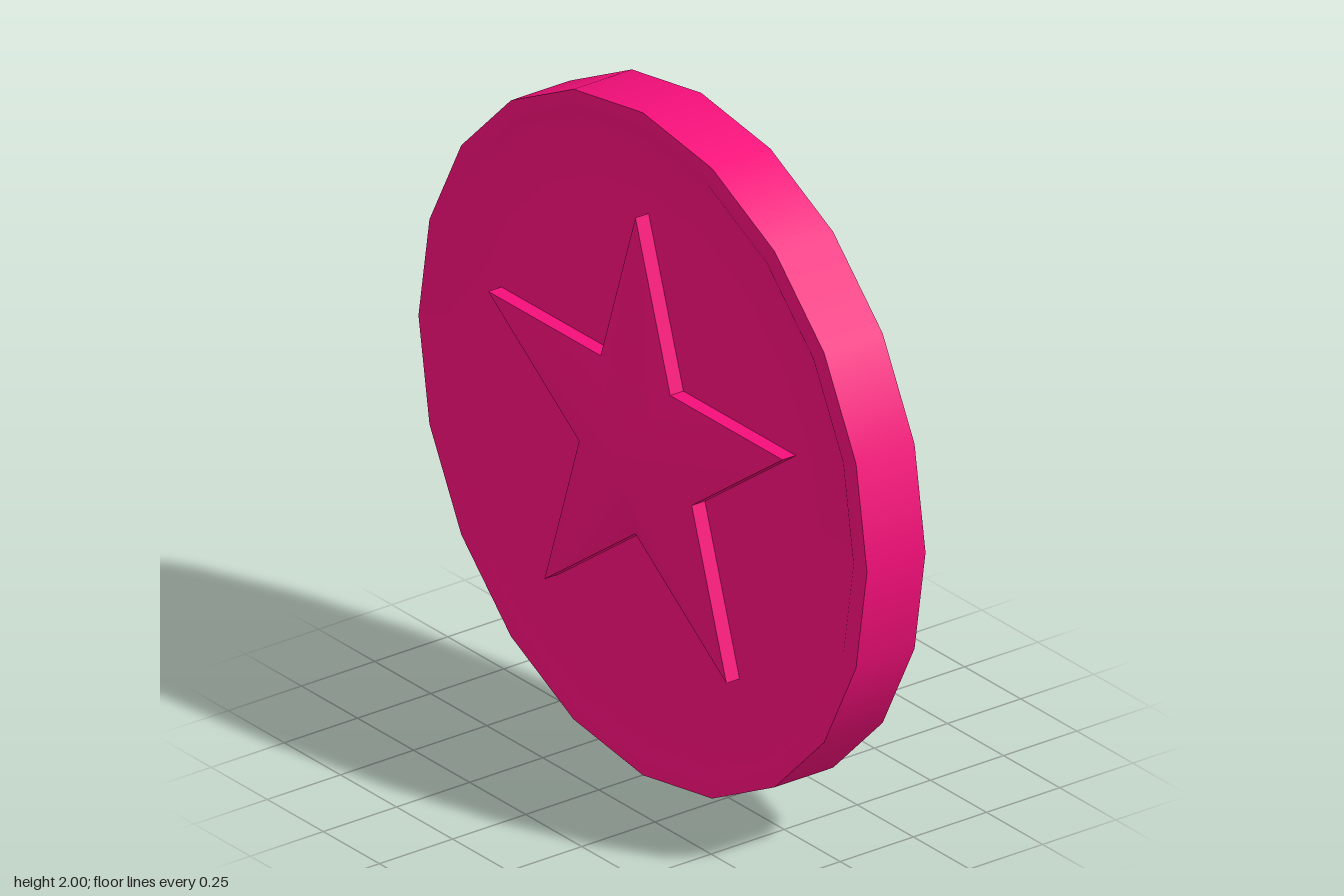
import * as THREE from 'three';

const SIDES = 20, HALF = 0.1, FLOOR = 0.08;

// Turns a [radius, z] profile around the z axis
function turned(profile) {
  const pts = profile.map(([r, z]) => new THREE.Vector2(r, z));
  return new THREE.LatheGeometry(pts, SIDES).rotateX(Math.PI / 2);
}

// Ten outline points of the five-pointed star, counter-clockwise from the top
function starOutline() {
  return Array.from({ length: 10 }, (_, i) => {
    const r = i % 2 ? 0.264 : 0.69;
    const a = Math.PI / 2 + (i * Math.PI) / 5;
    return [r * Math.cos(a), r * Math.sin(a)];
  });
}

// Softly shaded shallow pyramid over the star outline
function starTop(outline, edgeZ, apexZ) {
  const pos = [0, 0, apexZ], index = [];
  outline.forEach(([x, y], i) => {
    pos.push(x, y, edgeZ);
    index.push(0, i + 1, ((i + 1) % outline.length) + 1);
  });
  const g = new THREE.BufferGeometry();
  g.setAttribute('position', new THREE.Float32BufferAttribute(pos, 3));
  g.setIndex(index);
  g.computeVertexNormals();
  return g;
}

// Straight walls under the star, one flat quad per outline edge
function starWalls(outline, z0, z1) {
  const pos = [];
  outline.forEach(([ax, ay], i) => {
    const [bx, by] = outline[(i + 1) % outline.length];
    pos.push(ax, ay, z0, bx, by, z0, bx, by, z1);
    pos.push(ax, ay, z0, bx, by, z1, ax, ay, z1);
  });
  const g = new THREE.BufferGeometry();
  g.setAttribute('position', new THREE.Float32BufferAttribute(pos, 3));
  g.computeVertexNormals();
  return g;
}

export function createModel() {
  const model = new THREE.Group();
  model.name = 'starCoin';
  const material = new THREE.MeshStandardMaterial({ color: 0xf50f7a });
  const add = (parent, name, geometry) => {
    const mesh = new THREE.Mesh(geometry, material);
    mesh.name = name;
    parent.add(mesh);
  };

  // Outer edge of the coin
  add(model, 'edgeBand', turned([[1, -HALF], [1, HALF]]));

  // Both faces: raised lip, sunken floor and star
  const outline = starOutline();
  for (const [name, turn] of [['front', 0], ['back', Math.PI]]) {
    const face = new THREE.Group();
    face.name = name + 'Face';
    face.rotation.y = turn;
    add(face, name + 'LipAndFloor',
      turned([[1, HALF], [0.94, HALF], [0.905, FLOOR], [0.75, FLOOR], [0, FLOOR]]));
    add(face, name + 'StarTop', starTop(outline, 0.125, 0.2));
    add(face, name + 'StarWalls', starWalls(outline, FLOOR - 0.01, 0.125));
    model.add(face);
  }

  model.position.y = 1;
  const root = new THREE.Group();
  root.name = 'coin';
  root.add(model);
  return root;
}
